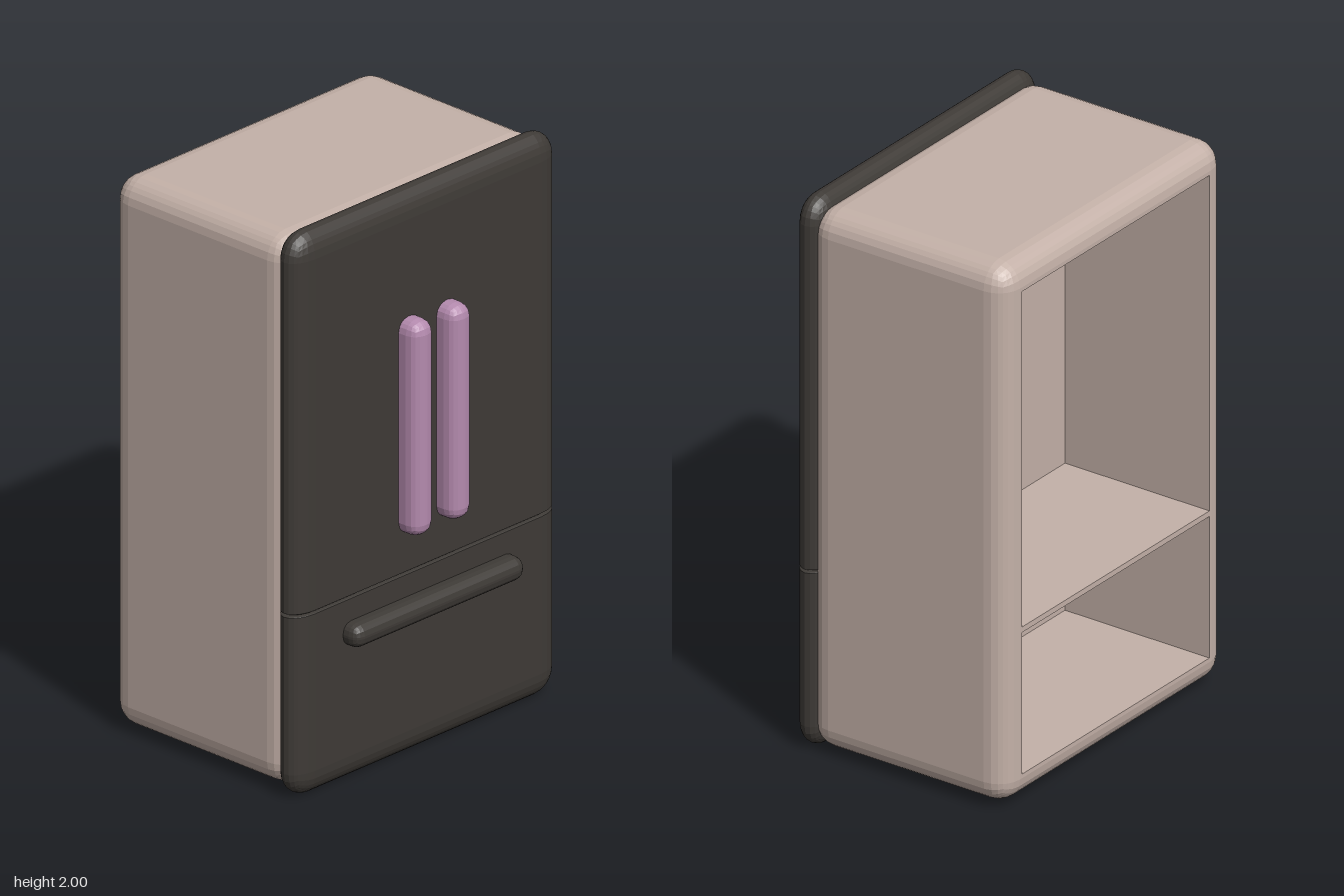
import * as THREE from 'three';
import { RoundedBoxGeometry } from 'three/addons/geometries/RoundedBoxGeometry.js';

const paint = (color) => new THREE.MeshStandardMaterial({ color, flatShading: true });
const shellPaint = paint(0xc4b1a8);
const doorPaint = paint(0x3e3a36);
const handlePaint = paint(0xb48aae);

function addMesh(parent, name, geometry, material, x = 0, y = 0, z = 0) {
  const mesh = new THREE.Mesh(geometry, material);
  mesh.name = name;
  mesh.position.set(x, y, z);
  parent.add(mesh);
  return mesh;
}

// Remove the triangles lying on the rear plane of a centred box of this depth
function openBack(source, depth) {
  const g = source.index ? source.toNonIndexed() : source;
  const p = g.attributes.position;
  const kept = [];
  for (let i = 0; i < p.count; i += 3) {
    const onBack = [0, 1, 2].every((k) => p.getZ(i + k) < -depth / 2 + 1e-4);
    if (!onBack) kept.push(i, i + 1, i + 2);
  }
  g.setIndex(kept);
  const open = g.toNonIndexed();
  open.computeVertexNormals();
  return open;
}

// Door panel with soft outer edges; sides listed in "tight" get a squeezed edge
function doorPanel(x0, x1, y0, y1, tight) {
  const r = 0.09, w = x1 - x0, h = y1 - y0;
  const g = new RoundedBoxGeometry(w, h, 2 * r, 3, r);
  g.translate((x0 + x1) / 2, (y0 + y1) / 2, 0);
  const squeeze = (v, edge, k) => (Math.abs(v - edge) < r + 1e-5 ? edge + (v - edge) * k : v);
  const p = g.attributes.position;
  for (let i = 0; i < p.count; i++) {
    let x = p.getX(i), y = p.getY(i);
    if (tight.x !== undefined) x = squeeze(x, tight.x, 0);
    if (tight.y !== undefined) y = squeeze(y, tight.y, 0.07);
    p.setXY(i, x, y);
  }
  g.scale(1, 1, 0.055 / r);
  g.computeVertexNormals();
  return g;
}

function rectPoints(x0, x1, y0, y1) {
  return [[x0, y0], [x1, y0], [x1, y1], [x0, y1]].map(([x, y]) => new THREE.Vector2(x, y));
}

export function createModel() {
  const model = new THREE.Group();
  model.name = 'refrigerator';

  // Cabinet shell, open at the back
  const cabinet = new THREE.Group();
  cabinet.name = 'cabinet';
  model.add(cabinet);
  const W = 1.22, y0 = 0.015, y1 = 1.97, backZ = -0.465, D = 0.795, r = 0.085;
  addMesh(cabinet, 'cabinetShell', openBack(new RoundedBoxGeometry(W, y1 - y0, D, 3, r), D),
    shellPaint, 0.005, (y0 + y1) / 2, backZ + D / 2);

  // Two compartments with a shelf between them
  const half = 0.515, depth = 0.58;
  const compartments = [['lowerCompartment', 0.115, 0.63], ['upperCompartment', 0.65, 1.87]];
  const rim = new THREE.Shape(rectPoints(-W / 2 + r, W / 2 - r, y0 + r, y1 - r));
  for (const [name, low, high] of compartments) {
    rim.holes.push(new THREE.Path(rectPoints(-half, half, low, high)));
    const inside = openBack(new THREE.BoxGeometry(2 * half, high - low, depth), depth);
    // Mirroring turns the faces inward
    inside.scale(-1, 1, 1);
    inside.computeVertexNormals();
    addMesh(cabinet, name, inside, shellPaint, 0.005, (low + high) / 2, backZ + depth / 2);
  }

  // Flat rear rim and shelf edge
  const rimGeometry = new THREE.ShapeGeometry(rim);
  rimGeometry.rotateY(Math.PI);
  addMesh(cabinet, 'rearRim', rimGeometry, shellPaint, 0.005, 0, backZ);

  // Two upper doors and a drawer front
  const seam = 0.655, side = 0.62, doorZ = 0.335;
  addMesh(model, 'rightDoor', doorPanel(-side, 0, seam, 2, { x: 0, y: seam }), doorPaint, 0, 0, doorZ);
  addMesh(model, 'leftDoor', doorPanel(0, side, seam, 2, { x: 0, y: seam }), doorPaint, 0, 0, doorZ);
  addMesh(model, 'drawerFront', doorPanel(-side, side, 0, seam, { y: seam }), doorPaint, 0, 0, doorZ);

  // Handles
  for (const [name, x] of [['rightDoorHandle', -0.09], ['leftDoorHandle', 0.088]]) {
    addMesh(model, name, new RoundedBoxGeometry(0.1, 0.765, 0.13, 2, 0.045), handlePaint, x, 1.183, 0.402);
  }
  addMesh(model, 'drawerHandle', new RoundedBoxGeometry(0.8, 0.084, 0.12, 2, 0.038), doorPaint, 0, 0.528, 0.392);

  return model;
}
